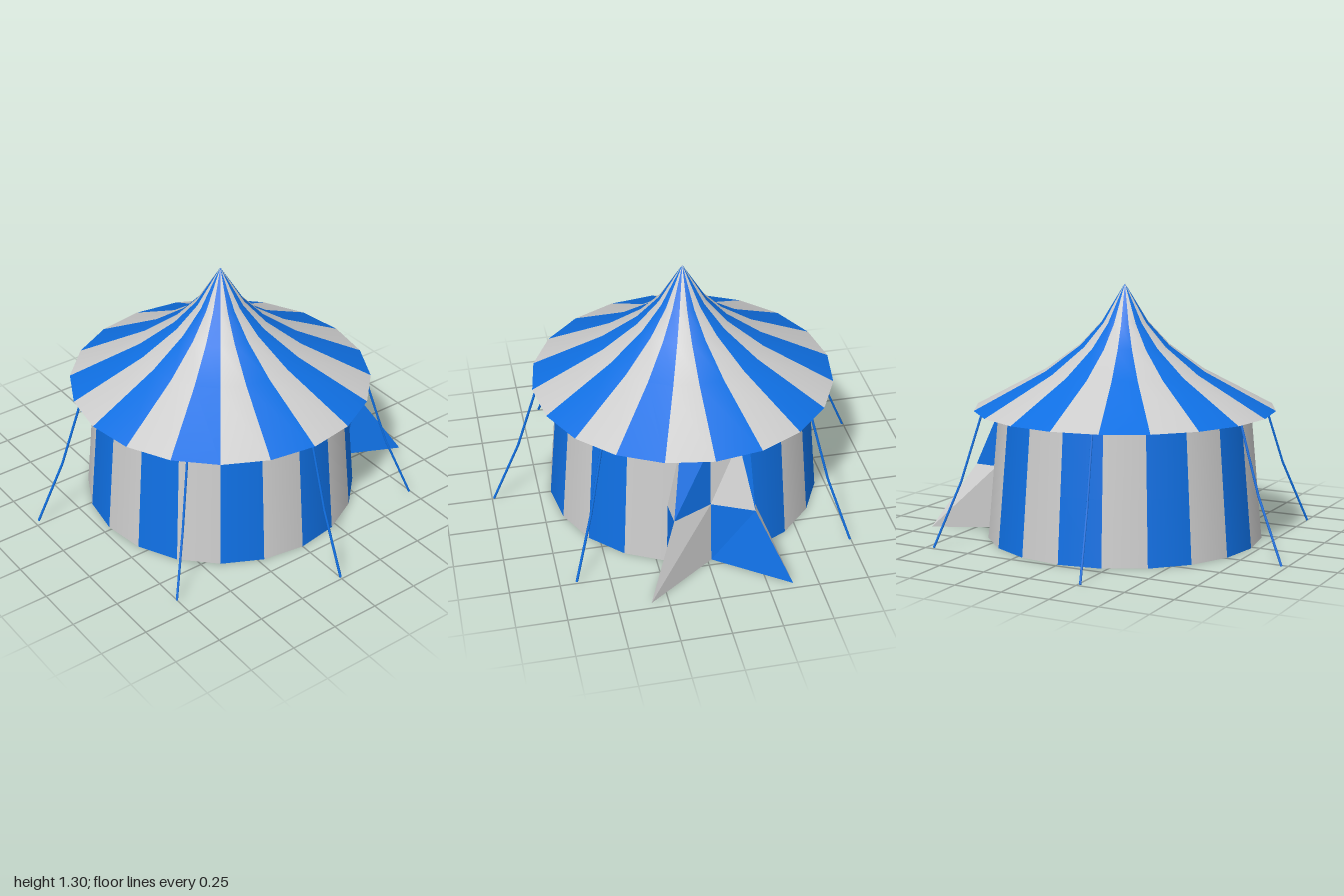
import * as THREE from 'three';

const SIDES = 20, STEP = (Math.PI * 2) / SIDES;
const grey = new THREE.MeshStandardMaterial({ color: 0xcccccc });
const blue = new THREE.MeshStandardMaterial({ color: 0x0f6fe2 });
const greyCloth = new THREE.MeshStandardMaterial({ color: 0xcccccc, side: THREE.DoubleSide });
const blueCloth = new THREE.MeshStandardMaterial({ color: 0x0f6fe2, side: THREE.DoubleSide });

const V = (x, y, z) => new THREE.Vector3(x, y, z);
const profile = pts => pts.map(([r, y]) => new THREE.Vector2(r, y));

function add(parent, name, geometry, material) {
  const mesh = new THREE.Mesh(geometry, material);
  mesh.name = name;
  parent.add(mesh);
  return mesh;
}

// Striped surface of revolution; stripe k runs from angle k*18 degrees (+z towards +x)
function stripes(name, pts, firstIsBlue, skip = []) {
  const group = new THREE.Group();
  group.name = name;
  for (let k = 0; k < SIDES; k++) {
    if (skip.includes(k)) continue;
    const geo = new THREE.LatheGeometry(profile(pts), 1, k * STEP, STEP);
    add(group, name + 'Stripe', geo, (k % 2 === 0) === firstIsBlue ? blue : grey);
  }
  return group;
}

// Four-cornered cloth panel
function panel(a, b, c, d) {
  const geo = new THREE.BufferGeometry().setFromPoints([a, b, c, a, c, d]);
  geo.computeVertexNormals();
  return geo;
}

function rod(a, b, radius) {
  const dir = b.clone().sub(a);
  const geo = new THREE.CylinderGeometry(radius, radius, dir.length(), 6);
  geo.applyQuaternion(new THREE.Quaternion().setFromUnitVectors(V(0, 1, 0), dir.normalize()));
  const m = a.clone().add(b).multiplyScalar(0.5);
  return geo.translate(m.x, m.y, m.z);
}

export function createModel() {
  const model = new THREE.Group();
  const tent = new THREE.Group();
  tent.name = 'tent';
  tent.position.z = -0.02;
  model.add(tent);

  // Swept roof with a flat underside at the eaves
  tent.add(stripes('roof', [[0.775, 0.663], [0.41, 0.856], [0.23, 0.987], [0.12, 1.105], [0, 1.3]], false));
  add(tent, 'eaves', new THREE.LatheGeometry(profile([[0.6, 0.655], [0.775, 0.663]]), SIDES), grey);

  // Wall, leaving out the two stripes of the doorway on the +x side
  const wall = [[0.71, 0], [0.68, 0.33], [0.65, 0.657]];
  tent.add(stripes('wall', wall, true, [4, 5]));

  // Door: on each half the cloth is pulled out to a corner line
  const corner = [[0.965, 0, 0.355], [0.775, 0.33, 0.203], [0.635, 0.657, 0.145]];
  for (const s of [1, -1]) {
    const door = new THREE.Group();
    door.name = s > 0 ? 'frontDoorFlap' : 'backDoorFlap';
    const mid = wall.map(([r, y]) => V(r, y, 0));
    const side = wall.map(([r, y]) => V(r * Math.cos(STEP), y, s * r * Math.sin(STEP)));
    const tip = corner.map(([x, y, z]) => V(x, y, s * z));
    for (const i of [0, 1]) {
      const innerBlue = (i === 1) === (s > 0);
      const quad = (p, q) => s > 0
        ? panel(p[i], q[i], q[i + 1], p[i + 1])
        : panel(q[i], p[i], p[i + 1], q[i + 1]);
      add(door, 'innerPanel', quad(tip, mid), innerBlue ? blueCloth : greyCloth);
      add(door, 'outerPanel', quad(side, tip), innerBlue ? greyCloth : blueCloth);
    }
    tent.add(door);
  }

  // Groundsheet, reaching out under the door corners
  const outline = [];
  for (let k = 0; k < SIDES; k++) {
    const a = k * STEP, p = new THREE.Vector2(0.71 * Math.cos(a), 0.71 * Math.sin(a));
    if (k === SIDES - 1) outline.push(p, new THREE.Vector2(0.965, -0.355));
    else if (k === 1) outline.push(new THREE.Vector2(0.965, 0.355), p);
    else outline.push(p);
  }
  add(tent, 'groundsheet', new THREE.ShapeGeometry(new THREE.Shape(outline)).rotateX(Math.PI / 2), grey);

  // Guy ropes bending halfway down to the ground
  for (const deg of [42.8, 90, 138.2, 194.9, 254.6, 314.2]) {
    const a = THREE.MathUtils.degToRad(deg);
    const pts = [[0.757, 0.66], [0.865, 0.33], [1.01, 0.004]]
      .map(([r, y]) => V(r * Math.cos(a), y, r * Math.sin(a)));
    const rope = new THREE.Group();
    rope.name = 'guyRope';
    for (const i of [0, 1]) add(rope, 'ropeLength', rod(pts[i], pts[i + 1], 0.0065), blue);
    tent.add(rope);
  }
  return model;
}
